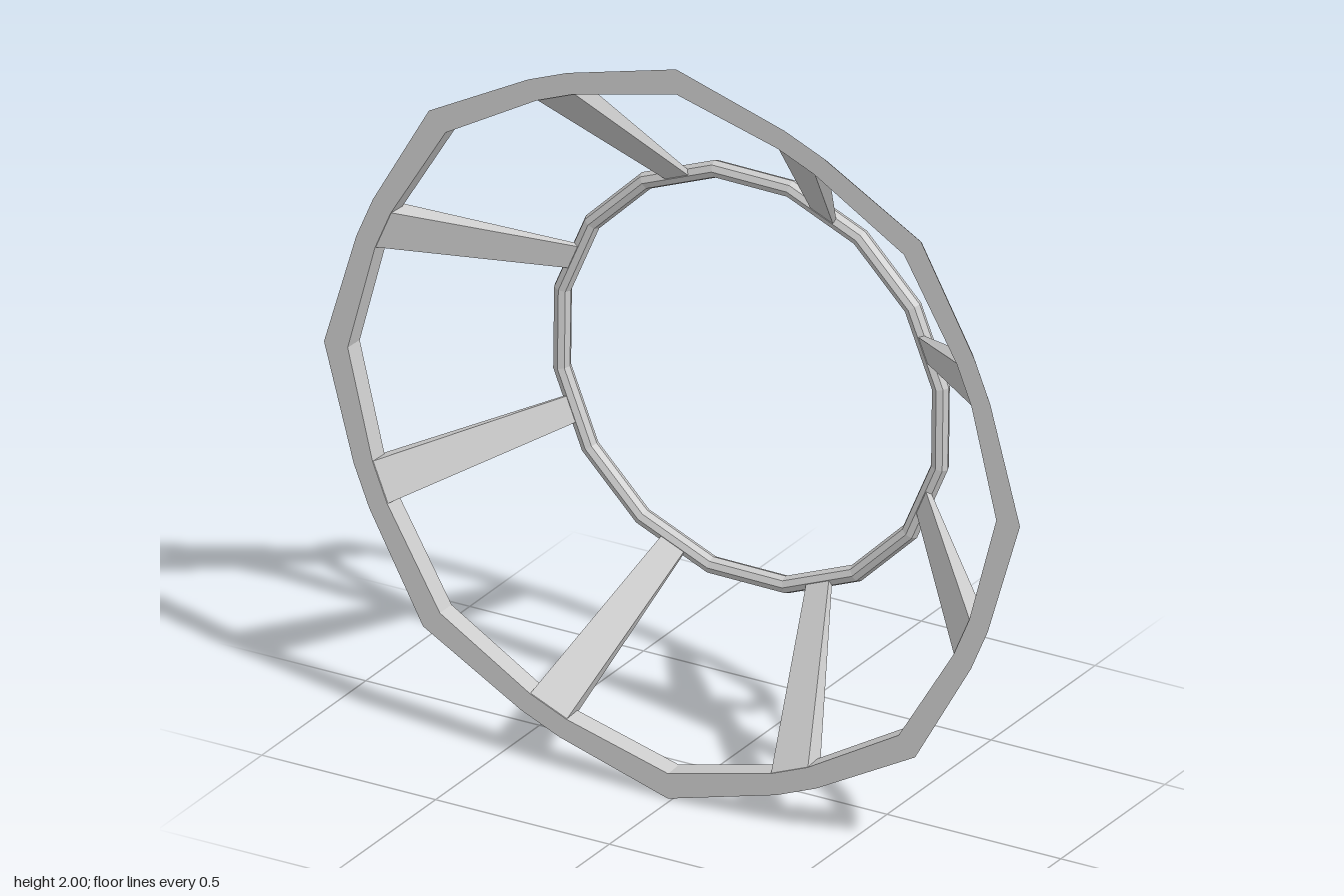
import * as THREE from 'three';

const material = new THREE.MeshStandardMaterial({ color: 0xcccccc, flatShading: true });

// Skin a list of four-cornered cross-sections ([x, y, z] corners), either as a closed loop or capped at both ends
function skin(sections, closed) {
  const positions = [];
  const quad = (a, b, c, d) => positions.push(...a, ...b, ...c, ...a, ...c, ...d);
  const count = closed ? sections.length : sections.length - 1;
  for (let i = 0; i < count; i++) {
    const s = sections[i], t = sections[(i + 1) % sections.length];
    for (let j = 0; j < 4; j++) {
      const k = (j + 1) % 4;
      quad(s[j], s[k], t[k], t[j]);
    }
  }
  if (!closed) {
    const s = sections[0], t = sections[sections.length - 1];
    quad(s[3], s[2], s[1], s[0]);
    quad(t[0], t[1], t[2], t[3]);
  }
  const geometry = new THREE.BufferGeometry();
  geometry.setAttribute('position', new THREE.Float32BufferAttribute(positions, 3));
  geometry.computeVertexNormals();
  return geometry;
}

function addMesh(parent, name, geometry) {
  const mesh = new THREE.Mesh(geometry, material);
  mesh.name = name;
  parent.add(mesh);
  return mesh;
}

export function createModel() {
  const model = new THREE.Group();
  model.name = 'taperedRingFrame';
  const frame = new THREE.Group();
  frame.name = 'frame';
  frame.position.y = 1.001;
  frame.rotation.set(0, 0.004, -0.012);
  model.add(frame);

  // Large front ring: eight pointed corners with a short flat at every spoke, bevelled outside
  // Profiles are [radius, z]: outer front, outer back, inner back, inner front
  const corner = [[0.999, 0.2], [0.957, 0.147], [0.928, 0.147], [0.931, 0.2]];
  const atSpoke = [[0.962, 0.2], [0.922, 0.147], [0.902, 0.147], [0.905, 0.2]];
  const sections = [];
  for (let i = 0; i < 8; i++) {
    for (const [offset, profile] of [[0, corner], [18.9, atSpoke], [26.1, atSpoke]]) {
      const a = THREE.MathUtils.degToRad(i * 45 + offset);
      sections.push(profile.map(([r, z]) => [r * Math.cos(a), r * Math.sin(a), z]));
    }
  }
  addMesh(frame, 'frontRing', skin(sections, true));

  // Small back ring: thin tube with sixteen straight segments
  const backRing = addMesh(frame, 'backRing', new THREE.TorusGeometry(0.553, 0.023, 8, 16));
  backRing.rotation.z = Math.PI / 16;
  backRing.position.z = -0.185;

  // Eight spokes, wide and thick at the front ring, narrow and thin at the back ring
  const bar = (halfWidth, [outer, outerZ], [inner, innerZ]) => [
    [outer, -halfWidth, outerZ], [outer, halfWidth, outerZ],
    [inner, halfWidth, innerZ], [inner, -halfWidth, innerZ],
  ];
  const spokeGeometry = skin([
    bar(0.034, [0.54, -0.185], [0.522, -0.185]),
    bar(0.057, [0.919, 0.148], [0.903, 0.197]),
  ], false);
  for (let i = 0; i < 8; i++) {
    const spoke = addMesh(frame, 'spoke' + (i + 1), spokeGeometry);
    spoke.rotation.z = (i + 0.5) * Math.PI / 4;
  }
  return model;
}
